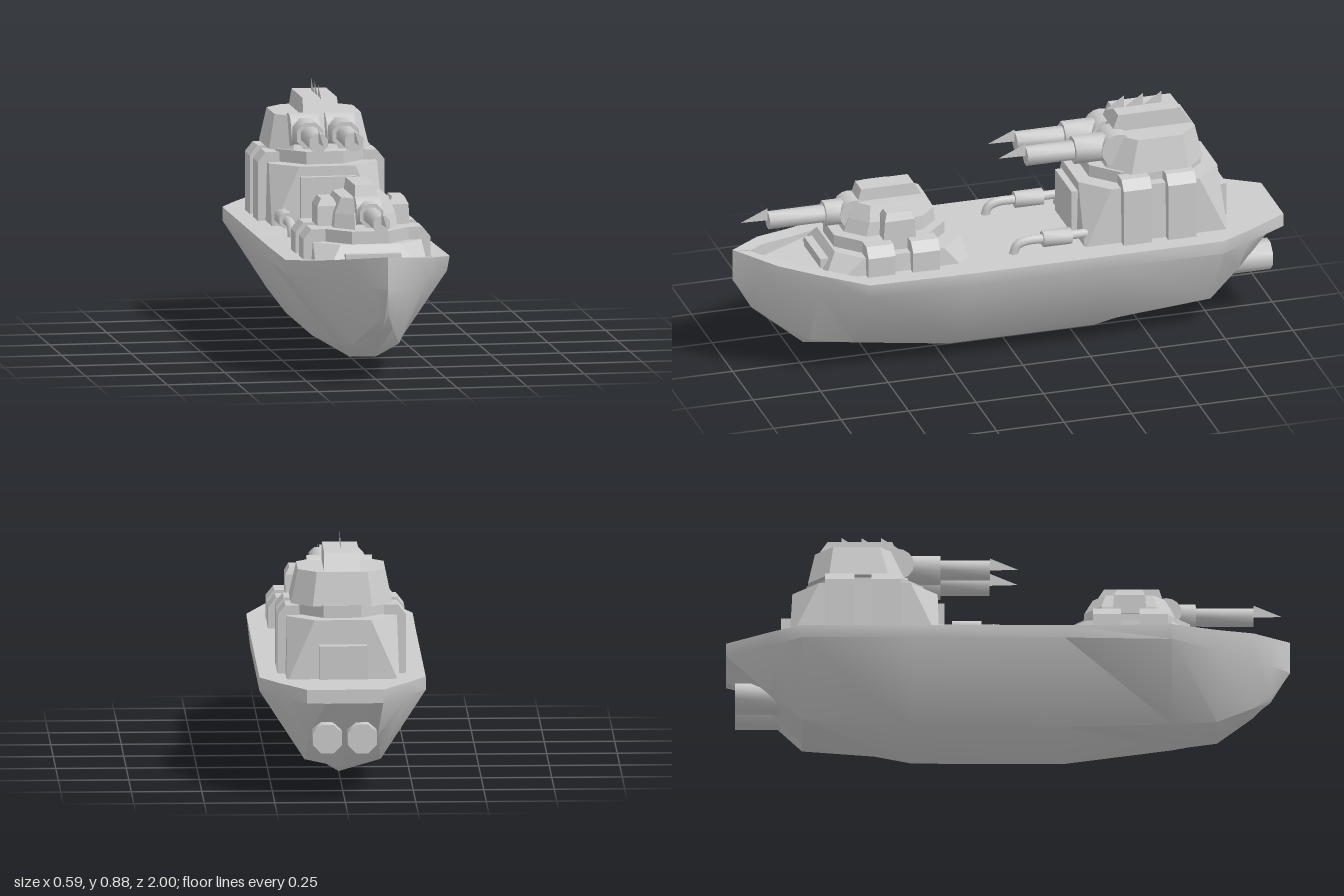
import * as THREE from 'three';
import { toCreasedNormals } from 'three/addons/utils/BufferGeometryUtils.js';

const flat = new THREE.MeshStandardMaterial({ color: 0xcccccc, flatShading: true });
const smooth = new THREE.MeshStandardMaterial({ color: 0xcccccc });
const thin = new THREE.MeshStandardMaterial({ color: 0xcccccc, side: THREE.DoubleSide });

function add(parent, name, geometry, material = flat) {
  const mesh = new THREE.Mesh(geometry, material);
  mesh.name = name;
  parent.add(mesh);
  return mesh;
}

function box(parent, name, w, h, d, x, y, z) {
  add(parent, name, new THREE.BoxGeometry(w, h, d)).position.set(x, y, z);
}

// Octagonal block lofted through levels of [y, half width, back z, front z, corner cut]
function block(parent, name, levels) {
  const pos = [];
  const rings = levels.map(([y, x, z0, z1, c]) => [
    [x, y, z0 + c], [x, y, z1 - c], [x - c, y, z1], [c - x, y, z1],
    [-x, y, z1 - c], [-x, y, z0 + c], [c - x, y, z0], [x - c, y, z0]]);
  for (let r = 0; r < rings.length - 1; r++) {
    const lo = rings[r], hi = rings[r + 1];
    for (let i = 0; i < 8; i++) {
      const j = (i + 1) % 8;
      pos.push(...lo[i], ...hi[i], ...hi[j], ...lo[i], ...hi[j], ...lo[j]);
    }
  }
  const top = rings[rings.length - 1], bottom = rings[0];
  for (let i = 1; i < 7; i++) {
    pos.push(...top[0], ...top[i + 1], ...top[i]);
    pos.push(...bottom[0], ...bottom[i], ...bottom[i + 1]);
  }
  const g = new THREE.BufferGeometry();
  g.setAttribute('position', new THREE.Float32BufferAttribute(pos, 3));
  g.computeVertexNormals();
  return add(parent, name, g);
}

// Eight-sided cylinder lying along z
function rod(parent, name, r, x, y, z0, z1) {
  const g = new THREE.CylinderGeometry(r, r, z1 - z0, 8);
  g.rotateY(Math.PI / 8).rotateX(Math.PI / 2);
  add(parent, name, toCreasedNormals(g, 1), smooth).position.set(x, y, (z0 + z1) / 2);
}

// Flat plate in the plane of constant x, outlined by [z, y]
function fin(parent, name, x, points) {
  const shape = new THREE.Shape(points.map(([z, y]) => new THREE.Vector2(-z, y)));
  const g = new THREE.ShapeGeometry(shape).rotateY(Math.PI / 2);
  add(parent, name, g, thin).position.x = x;
}

function hullGeometry() {
  // z, rail x, rail y, side x, chine x, chine y, keel y
  const stations = [
    [1, 0, 0.475, 0, 0, 0.36, 0.36],
    [0.93, 0.07, 0.462, 0.06, 0.015, 0.255, 0.24],
    [0.87, 0.13, 0.451, 0.115, 0.04, 0.2, 0.19],
    [0.74, 0.204, 0.43, 0.19, 0.085, 0.125, 0.08],
    [0.58, 0.295, 0.41, 0.285, 0.11, 0.105, 0.057],
    [0.2, 0.295, 0.405, 0.295, 0.135, 0.08, 0],
    [-0.34, 0.295, 0.405, 0.295, 0.135, 0.08, 0],
    [-0.73, 0.295, 0.405, 0.295, 0.135, 0.11, 0.08],
    [-0.84, 0.235, 0.405, 0.23, 0.12, 0.21, 0.19],
    [-1, 0.135, 0.405, 0.135, 0.07, 0.355, 0.355]];
  const pos = [], index = [], n = 11;
  for (const [z, rx, ry, sx, cx, cy, ky] of stations) {
    const ix = Math.max(0, rx - 0.065);
    const half = [[cx, cy], [sx, 0.357], [rx, ry], [ix, ry], [ix, 0.405]];
    const mirrored = half.map(([x, y]) => [-x, y]).reverse();
    for (const [x, y] of [[0, ky], ...half, ...mirrored]) pos.push(x, y, z);
  }
  for (let s = 0; s < stations.length - 1; s++) {
    for (let i = 0; i < n; i++) {
      const j = (i + 1) % n, a = s * n + i, b = s * n + j;
      index.push(a, a + n, b, b, a + n, b + n);
    }
  }
  const last = (stations.length - 1) * n;
  for (let i = 1; i < n - 1; i++) index.push(last, last + i + 1, last + i);
  const g = new THREE.BufferGeometry();
  g.setAttribute('position', new THREE.Float32BufferAttribute(pos, 3));
  g.setIndex(index);
  return toCreasedNormals(g, 0.6);
}

// Trunnion, sleeve, barrel and pointed sight plate
function gun(parent, x, y, z, r, width, sleeveEnd, muzzle) {
  const g = new THREE.Group();
  g.name = 'gun';
  parent.add(g);
  const drum = new THREE.CylinderGeometry(r * 1.2, r * 1.2, width, 16).rotateZ(Math.PI / 2);
  add(g, 'gunTrunnion', toCreasedNormals(drum, 0.8), smooth).position.set(x, y, z);
  rod(g, 'gunSleeve', r, x, y, z, sleeveEnd);
  rod(g, 'gunBarrel', r * 0.7, x, y, sleeveEnd - 0.01, muzzle);
  fin(g, 'muzzlePlate', x, [[muzzle, y], [muzzle + 0.1, y + 0.003], [muzzle, y + 0.047]]);
}

// Locker with a chamfered outer top edge, against the side of a deckhouse
function locker(parent, side, y1, z0, z1) {
  const shape = new THREE.Shape([[0.15, 0.4], [0.228, 0.4], [0.228, y1 - 0.035], [0.2, y1], [0.15, y1]]
    .map(([x, y]) => new THREE.Vector2(x * side, y)));
  const g = new THREE.ExtrudeGeometry(shape, { depth: z1 - z0, bevelEnabled: false });
  add(parent, 'sideLocker', g).position.z = z0;
}

export function createModel() {
  const ship = new THREE.Group();
  ship.name = 'gunboat';
  add(ship, 'hull', hullGeometry(), smooth);

  // Forward gun position
  const fore = new THREE.Group();
  fore.name = 'foreTurret';
  ship.add(fore);
  block(fore, 'foreBase', [[0.4, 0.2, 0.17, 0.7, 0.045], [0.47, 0.195, 0.19, 0.655, 0.085]]);
  box(fore, 'foreBasePlate', 0.2, 0.035, 0.03, 0, 0.425, 0.69);
  block(fore, 'foreRing', [[0.46, 0.157, 0.235, 0.645, 0.09], [0.515, 0.157, 0.235, 0.645, 0.09]]);
  block(fore, 'foreTurretBody', [
    [0.51, 0.115, 0.265, 0.605, 0.065], [0.565, 0.108, 0.27, 0.585, 0.06], [0.62, 0.085, 0.3, 0.56, 0.045]]);
  block(fore, 'foreCupola', [[0.615, 0.04, 0.31, 0.55, 0], [0.665, 0.038, 0.34, 0.535, 0]]);
  for (const s of [-1, 1]) {
    const pod = block(fore, 'turretSidePod', [[0.515, 0.036, -0.06, 0.06, 0], [0.585, 0.036, -0.055, 0.055, 0],
      [0.612, 0.022, -0.045, 0.045, 0]]);
    pod.position.set(s * 0.128, 0, 0.43);
    locker(fore, s, 0.515, 0.3, 0.4);
    locker(fore, s, 0.515, 0.465, 0.565);
  }
  gun(fore, 0, 0.573, 0.56, 0.046, 0.09, 0.665, 0.87);

  // Aft deckhouse and twin gun turret
  const aft = new THREE.Group();
  aft.name = 'aftTurret';
  ship.add(aft);
  block(aft, 'deckhouse', [[0.4, 0.2, -0.775, -0.245, 0.005], [0.615, 0.195, -0.765, -0.25, 0.095]]);
  box(aft, 'deckhouseFrontPanel', 0.2, 0.16, 0.04, 0, 0.5, -0.245);
  box(aft, 'deckhouseRearPanel', 0.17, 0.12, 0.05, 0, 0.468, -0.78);
  block(aft, 'aftRing', [[0.61, 0.157, -0.715, -0.3, 0.09], [0.66, 0.157, -0.715, -0.3, 0.09]]);
  block(aft, 'aftTurretBody', [[0.655, 0.18, -0.71, -0.35, 0.075], [0.775, 0.155, -0.685, -0.39, 0.065]]);
  block(aft, 'aftCupola', [[0.77, 0.064, -0.685, -0.385, 0], [0.837, 0.062, -0.64, -0.41, 0]]);
  for (let i = 0; i < 3; i++) {
    const z = -0.38 - i * 0.07;
    fin(aft, 'cupolaFin', 0, [[z, 0.835], [z - 0.07, 0.835], [z - 0.07, 0.882]]);
  }
  for (const s of [-1, 1]) {
    gun(aft, s * 0.064, 0.726, -0.395, 0.051, 0.104, -0.24, -0.065);
    locker(aft, s, 0.65, -0.65, -0.545);
    locker(aft, s, 0.65, -0.485, -0.38);
  }

  // Deck pipes and stern exhausts
  for (const s of [-1, 1]) {
    const path = new THREE.CatmullRomCurve3([[-0.26, 0.447], [-0.1, 0.447], [-0.03, 0.446], [0.0, 0.432], [0.012, 0.4]]
      .map(([z, y]) => new THREE.Vector3(s * 0.172, y, z)));
    add(ship, 'deckPipe', new THREE.TubeGeometry(path, 20, 0.017, 8), smooth);
    rod(ship, 'deckPipeSleeve', 0.03, s * 0.172, 0.446, -0.2, -0.095);
    rod(ship, 'sternExhaust', 0.056, s * 0.062, 0.222, -0.968, -0.7);
  }
  return ship;
}
